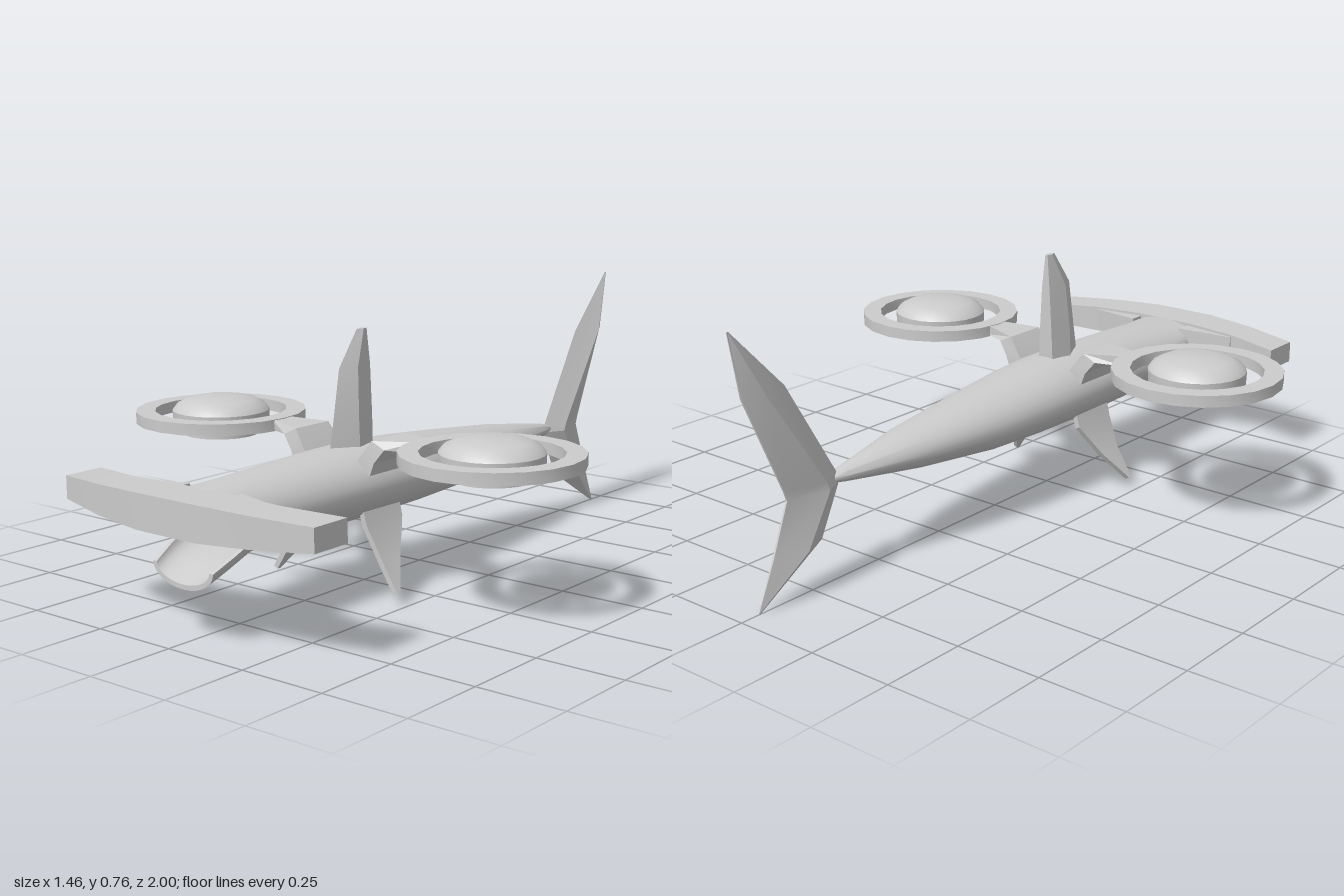
import * as THREE from 'three';
import { toCreasedNormals } from 'three/addons/utils/BufferGeometryUtils.js';

const material = new THREE.MeshStandardMaterial({ color: 0xcccccc, side: THREE.DoubleSide });

// Skin a closed solid over equal-length loops of [x, y, z] points; winding is fixed by volume.
function loft(rings, crease = 0.6) {
  const n = rings[0].length, tris = [];
  const quad = (a, b, c, d) => tris.push([a, b, c], [a, c, d]);
  for (let r = 0; r < rings.length - 1; r++)
    for (let i = 0; i < n; i++) {
      const j = (i + 1) % n;
      quad(rings[r][i], rings[r][j], rings[r + 1][j], rings[r + 1][i]);
    }
  // End caps zip opposite points together, which also suits U-shaped loops
  const cap = (p, flip) => {
    for (let i = 0; i < Math.floor(n / 2) - 1 + (n % 2); i++) {
      const q = [p[i], p[i + 1], p[n - 2 - i], p[n - 1 - i]];
      if (flip) q.reverse();
      quad(...q);
    }
  };
  cap(rings[0], true);
  cap(rings[rings.length - 1], false);
  let volume = 0;
  const V = (p) => new THREE.Vector3(...p);
  for (const [a, b, c] of tris) volume += V(a).dot(V(b).cross(V(c)));
  if (volume < 0) tris.forEach((t) => t.reverse());
  const solid = tris.filter(([a, b, c]) =>
    V(b).sub(V(a)).cross(V(c).sub(V(a))).length() > 1e-9);
  const g = new THREE.BufferGeometry();
  g.setAttribute('position', new THREE.Float32BufferAttribute(solid.flat(2), 3));
  return toCreasedNormals(g, crease);
}

// Upright fin from rows of [y, leading z, ridge z, trailing z, ridge half-width, trailing half-width]
const fin = (rows) => loft(rows.map(([y, lead, ridge, trail, w, t]) => [
  [0, y, lead], [w, y, ridge], [t, y, trail], [-t, y, trail], [-w, y, ridge],
]), 0.3);

// Rectangular section at a given x
const rectX = (x, y0, y1, z0, z1) => [[x, y0, z0], [x, y1, z0], [x, y1, z1], [x, y0, z1]];

export function createModel() {
  const model = new THREE.Group();
  const add = (name, geometry, parent = model) => {
    const mesh = new THREE.Mesh(geometry, material);
    mesh.name = name;
    parent.add(mesh);
    return mesh;
  };

  // Body: elliptical sections [z, half-width, bottom, top]
  const sections = [
    [-0.67, 0.012, 0.285, 0.305], [-0.63, 0.026, 0.277, 0.316], [-0.37, 0.086, 0.24, 0.355],
    [-0.1, 0.122, 0.212, 0.382], [0.1, 0.14, 0.206, 0.4], [0.24, 0.146, 0.205, 0.408],
    [0.4, 0.144, 0.205, 0.408], [0.6, 0.134, 0.207, 0.403], [0.77, 0.127, 0.21, 0.396],
    [0.83, 0.122, 0.27, 0.392], [0.9, 0.118, 0.3, 0.387],
  ];
  add('body', loft(sections.map(([z, w, y0, y1]) =>
    Array.from({ length: 28 }, (_, i) => {
      const a = (i / 28) * Math.PI * 2;
      return [w * Math.cos(a), (y0 + y1) / 2 + ((y1 - y0) / 2) * Math.sin(a), z];
    }))));

  // Lower jaw: a thick open trough [z, half-width, rim y, bottom y]
  const jaw = [[0.72, 0.125, 0.29, 0.208], [0.8, 0.122, 0.272, 0.205],
    [0.88, 0.116, 0.235, 0.173], [0.945, 0.105, 0.203, 0.146]];
  add('lowerJaw', loft(jaw.map(([z, w, rim, low]) => {
    const arc = (inset) => Array.from({ length: 15 }, (_, i) => {
      const a = Math.PI * (1 + i / 14);
      return [(w - inset) * Math.cos(a), rim + (rim - low - inset) * Math.sin(a), z];
    });
    return [...arc(0), ...arc(0.013).reverse()];
  })));

  // Wide curved head bar: stations [x, bottom, top, back z, front z]
  const half = [[0.1, 0.293, 0.388, 0.87, 1], [0.26, 0.3, 0.382, 0.862, 0.98],
    [0.43, 0.31, 0.373, 0.822, 0.94]];
  const mirrored = half.map(([x, ...rest]) => [-x, ...rest]).reverse();
  add('headBar', loft([...mirrored, ...half].map((s) => rectX(...s)), 0.3));

  // Tail fin, swept up and down from the tail root
  add('tailFin', fin([
    [0.008, -0.935, -0.938, -0.942, 0.001, 0.001],
    [0.14, -0.71, -0.79, -0.885, 0.034, 0.003],
    [0.285, -0.64, -0.71, -0.83, 0.037, 0.003],
    [0.31, -0.65, -0.72, -0.838, 0.037, 0.003],
    [0.59, -0.82, -0.91, -0.965, 0.034, 0.003],
    [0.768, -0.994, -0.997, -1, 0.001, 0.001],
  ]));

  // Dorsal fin
  add('dorsalFin', fin([
    [0.38, 0.395, 0.31, 0.24, 0.04, 0.026],
    [0.48, 0.375, 0.31, 0.238, 0.036, 0.022],
    [0.62, 0.35, 0.3, 0.236, 0.025, 0.014],
    [0.72, 0.275, 0.255, 0.238, 0.008, 0.004],
  ]));

  for (const s of [1, -1]) {
    const side = new THREE.Group();
    side.name = s > 0 ? 'leftSide' : 'rightSide';
    model.add(side);
    const flip = (rings) => rings.map((r) => r.map(([x, y, z]) => [s * x, y, z]));

    // Fairing between body and head bar
    add('headFairing', loft(flip([
      rectX(0.09, 0.305, 0.38, 0.825, 0.92), rectX(0.26, 0.31, 0.375, 0.858, 0.92),
    ]), 0.3), side);

    // Thin pectoral fin: rows of [x, y, trailing z, leading z]
    add('pectoralFin', loft(flip([
      [0.105, 0.27, 0.237, 0.393], [0.122, 0.21, 0.24, 0.392],
      [0.163, 0.12, 0.3, 0.38], [0.217, 0.035, 0.368, 0.38],
    ].map(([x, y, z0, z1]) => {
      const t = 0.007;
      return [[x - t, y - t / 2, z0], [x + t, y + t / 2, z0],
        [x + t, y + t / 2, z1], [x - t, y - t / 2, z1]];
    })), 0.3), side);

    // Bent arm from the shoulder to the ring: [top x, top y, low x, low y, half-depth]
    add('rotorArm', loft(flip([
      [0.085, 0.37, 0.135, 0.35, 0.075], [0.1, 0.395, 0.148, 0.385, 0.075],
      [0.135, 0.444, 0.178, 0.424, 0.068], [0.26, 0.45, 0.26, 0.42, 0.03],
    ].map(([x0, y0, x1, y1, d]) =>
      [[x0, y0, 0.31 - d], [x1, y1, 0.31 - d], [x1, y1, 0.31 + d], [x0, y0, 0.31 + d]])),
    0.3), side);

    // Guard ring
    const lathe = (points, n) => toCreasedNormals(
      new THREE.LatheGeometry(points.map((p) => new THREE.Vector2(...p)), n), 0.6);
    const ring = add('guardRing', lathe(
      [[0.19, 0.418], [0.245, 0.418], [0.245, 0.451], [0.19, 0.451], [0.19, 0.418]], 20), side);

    // Domed rotor pod with a stepped underside
    const pod = add('rotorPod', lathe([
      [0, 0.38], [0.108, 0.38], [0.108, 0.402], [0.138, 0.402], [0.14, 0.45],
      [0.128, 0.466], [0.1, 0.48], [0.056, 0.489], [0, 0.489],
    ], 24), side);
    for (const m of [ring, pod]) m.position.set(s * 0.483, 0, 0.315);
  }
  return model;
}
